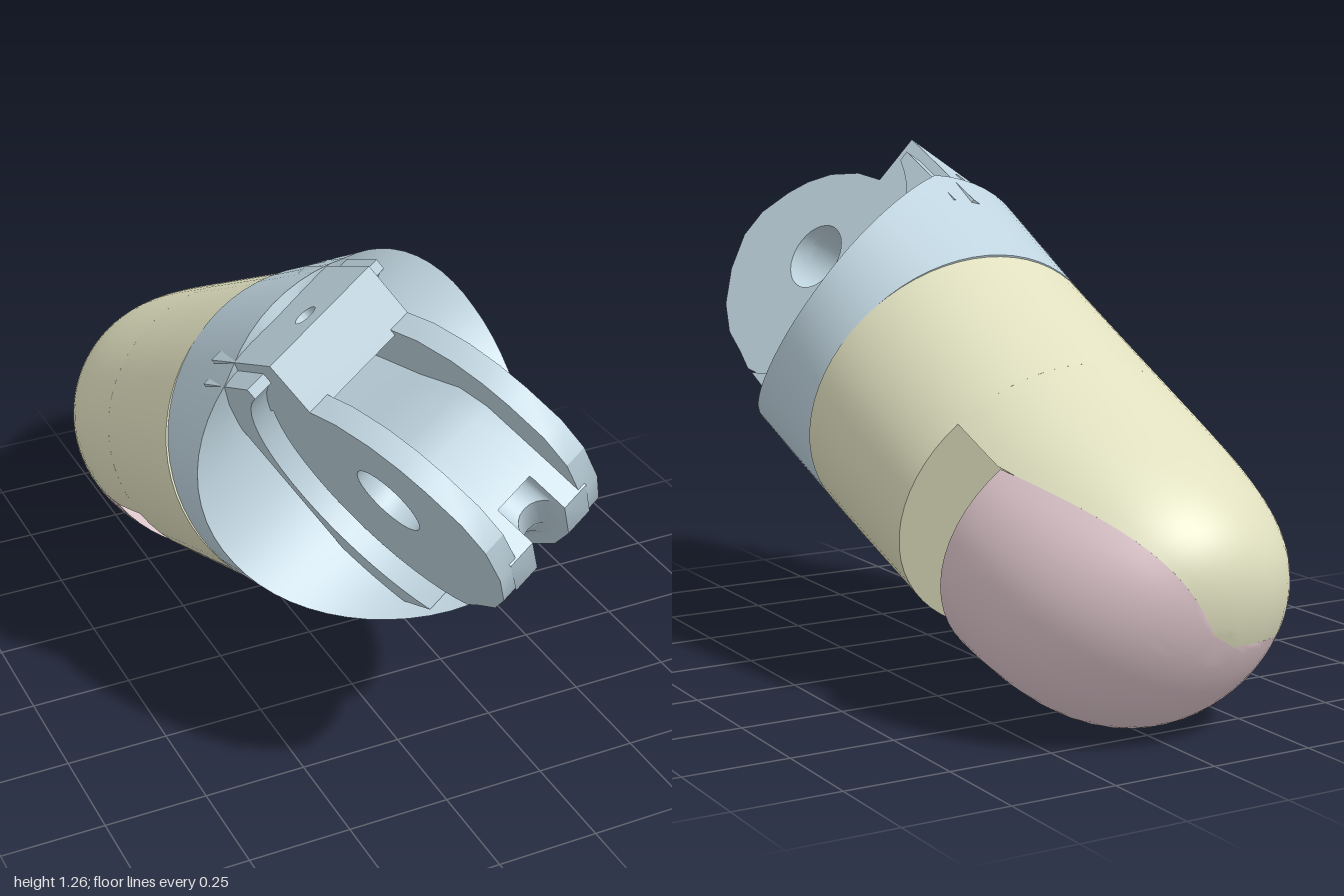
import * as THREE from 'three';
import { toCreasedNormals } from 'three/addons/utils/BufferGeometryUtils.js';

const ROLL = 0.56;      // hinge roll about the finger axis
const HINGE = 0.61;     // hinge position along the finger axis
const TIP = 1.125;      // fingertip length

// Skin through rings of points (counter-clockwise seen from the last ring), optionally capped
function loft(rings, capped = true) {
  const n = rings[0].length, pos = [], idx = [];
  rings.forEach(r => r.forEach(p => pos.push(...p)));
  for (let k = 0; k < rings.length - 1; k++) {
    for (let i = 0; i < n; i++) {
      const a = k * n + i, b = k * n + (i + 1) % n;
      idx.push(a, b, b + n, a, b + n, a + n);
    }
  }
  const caps = capped ? [[0, true], [rings.length - 1, false]] : [];
  caps.forEach(([k, start]) => {
    const c = pos.length / 3;
    pos.push(...[0, 1, 2].map(j => rings[k].reduce((s, p) => s + p[j], 0) / n));
    for (let i = 0; i < n; i++) {
      const a = k * n + i, b = k * n + (i + 1) % n;
      idx.push(c, start ? b : a, start ? a : b);
    }
  });
  const g = new THREE.BufferGeometry();
  g.setAttribute('position', new THREE.Float32BufferAttribute(pos, 3));
  g.setIndex(idx);
  return toCreasedNormals(g, 0.6);
}

// Arc of the finger section at height w: an oval that domes earlier in width than in height
function section(w, from, to, count, closed) {
  const u = Math.min(1, -w / TIP);
  const rx = (0.405 + 0.022 * w) * Math.sqrt(1 - Math.pow(u, 6.5));
  const ry = (0.395 + 0.065 * w) * Math.sqrt(1 - Math.pow(u, 10));
  const cx = -0.03 * u * u, cy = 0.05 * Math.pow(u, 8);
  const c = Math.cos(ROLL), s = Math.sin(ROLL);
  const ring = [];
  for (let i = 0; i < count; i++) {
    const a = from + (to - from) * i / (closed ? count : count - 1);
    const r = 1 / Math.hypot(Math.cos(a + ROLL) / rx, Math.sin(a + ROLL) / ry);
    ring.push([c * cx + s * cy + r * Math.cos(a), -s * cx + c * cy + r * Math.sin(a), w]);
  }
  return ring;
}

// Half of the fingertip, above or below the rising seam
function halfTip(w1, upper) {
  const rings = [];
  for (let k = 0; k <= 22; k++) {
    const w = -TIP + 0.002 + (w1 + TIP - 0.002) * Math.pow(k / 22, 2);
    const seam = 0.1 + 0.4 * Math.max(0, (-w - 0.64) / 0.48);
    rings.push(upper ? section(w, seam, Math.PI - seam, 33)
      : section(w, Math.PI - seam, 2 * Math.PI + seam, 33));
  }
  return loft(rings);
}

// Side profile (along axis, up) about the hinge, spanning n0..n1 across
function slab(points, n0, n1, bore) {
  const s = new THREE.Shape(points.map(p => new THREE.Vector2(...p)));
  if (bore) s.holes.push(new THREE.Path().absarc(0, 0, bore, 0, Math.PI * 2, true));
  const g = new THREE.ExtrudeGeometry(s, { depth: n1 - n0, bevelEnabled: false, curveSegments: 16 });
  g.translate(0, 0, -n1);
  g.rotateY(-Math.PI / 2);
  g.translate(0, 0, HINGE);
  return toCreasedNormals(g, 0.5);
}

// Points on an arc about the hinge
function arc(r, from, to, count) {
  return Array.from({ length: count }, (_, i) => {
    const a = from + (to - from) * i / (count - 1);
    return [r * Math.cos(a), r * Math.sin(a)];
  });
}

export function createModel() {
  const mat = (name, color) => {
    const m = new THREE.MeshStandardMaterial({ color });
    m.name = name;
    return m;
  };
  const blue = mat('pale blue', 0xbfd4df);
  const cream = mat('cream', 0xe0e0c0);
  const pink = mat('pale pink', 0xdfc7cd);

  const model = new THREE.Group();
  model.name = 'fingertipSegment';
  const finger = new THREE.Group();
  finger.name = 'finger';
  finger.position.set(0, 0.64, 0.085);
  finger.rotation.x = -0.407;
  model.add(finger);
  const rolled = new THREE.Group();
  rolled.name = 'rolledParts';
  rolled.rotation.z = ROLL;
  finger.add(rolled);
  const add = (name, geometry, material) => {
    const m = new THREE.Mesh(geometry, material);
    m.name = name;
    rolled.add(m);
  };

  // Finger sleeve, upper shell of the tip, and the separate pad below it
  add('sleeve', loft([-0.46, -0.3, -0.15, 0].map(w => section(w, 0, Math.PI * 2, 64, true))), cream);
  add('tipShell', halfTip(-0.46, true), cream);
  add('tipPad', halfTip(-0.64, false), pink);

  // Collar: flares towards a squarer upper corner, its end hollowed around the hinge
  const hollow = (n, m) => HINGE - Math.sqrt(Math.pow(0.443 + 0.03 * n, 2) - m * m);
  const rim = a => 0.415 + 0.012 * Math.max(0, Math.sin(a))
    + 0.03 * Math.pow(Math.max(0, Math.cos(a + ROLL - Math.PI / 4)), 4);
  const collarRing = (size, f) => Array.from({ length: 64 }, (_, i) => {
    const a = i / 64 * Math.PI * 2, r = size * (0.4 + (rim(a) - 0.4) * f);
    const n = r * Math.cos(a), m = r * Math.sin(a);
    return [n, m, f * hollow(n, Math.min(0.38, m))];
  });
  const collarRings = [collarRing(1, 0), collarRing(1, 0.5), collarRing(1, 1)];
  for (let s = 0.88; s > 0.05; s -= 0.12) collarRings.push(collarRing(s, 1));
  add('collar', loft(collarRings), blue);

  // Yoke behind the plates, with a thin arm over them
  const yoke = [[-0.42, -0.32], [-0.16, -0.32],
    ...arc(0.357, 2 * Math.PI - Math.acos(-0.16 / 0.357), 1.83, 20), [-0.09, 0.372], [-0.36, 0.372]];
  add('yoke', slab(yoke, -0.205, 0.205), blue);

  // Hinge plates: round at the back, trimmed at the upper front
  const plate = [[0.08, 0.235], [-0.03, 0.27], [-0.12, 0.31], ...arc(0.345, 2.0, 4.5, 20),
    [0, -0.325], [0.09, -0.315], [0.18, -0.275], [0.26, -0.2], [0.31, -0.11],
    [0.31, -0.03], [0.27, 0.06], [0.23, 0.12], [0.17, 0.18]];
  add('leftPlate', slab(plate, 0.1, 0.155, 0.09), blue);
  add('rightPlate', slab(plate, -0.155, -0.1, 0.09), blue);

  // Core between the plates, with a round cable groove in its lower front
  const coreRing = (n, depth) => [
    [-0.4, 0.3], [-0.32, 0.3], [-0.28, 0.2], [-0.05, 0.13], [0.1, 0.1], [0.16, 0.05], [0.23, -0.1],
    ...[[0.235, -0.11], [0.27, -0.19], [0.18, -0.28], [0.06, -0.33], [-0.06, -0.35], [-0.12, -0.35]]
      .map(p => p.map(v => v * (1 - depth / Math.hypot(...p)))),
    [-0.3, -0.35 + depth], [-0.4, -0.35 + depth],
  ].map(([w, m]) => [n, m, HINGE + w]);
  const coreRings = [coreRing(-0.12, 0), coreRing(-0.051, 0)];
  for (let i = 0; i <= 10; i++) {
    const a = Math.PI * i / 10;
    coreRings.push(coreRing(-0.05 * Math.cos(a), 0.02 + 0.05 * Math.sin(a)));
  }
  coreRings.push(coreRing(0.051, 0), coreRing(0.12, 0));
  add('core', loft(coreRings, false), blue);
  add('axleBore', slab(arc(0.11, 0, Math.PI * 2 * 23 / 24, 24), -0.12, 0.12, 0.09), blue);

  // Upper bridge with a small blind cable hole
  const layer = (top, depth, holed) => {
    const s = new THREE.Shape([[-0.155, 0.25], [0.155, 0.25], [0.155, 0.6], [-0.155, 0.6]]
      .map(p => new THREE.Vector2(...p)));
    if (holed) s.holes.push(new THREE.Path().absarc(0, 0.52, 0.027, 0, Math.PI * 2, true));
    const g = new THREE.ExtrudeGeometry(s, { depth, bevelEnabled: false, curveSegments: 10 });
    g.rotateX(Math.PI / 2);
    g.translate(0, top, 0);
    return toCreasedNormals(g, 0.5);
  };
  add('upperBridge', layer(0.398, 0.1, true), blue);
  add('bridgeUnderside', layer(0.298, 0.05, false), blue);
  return model;
}
